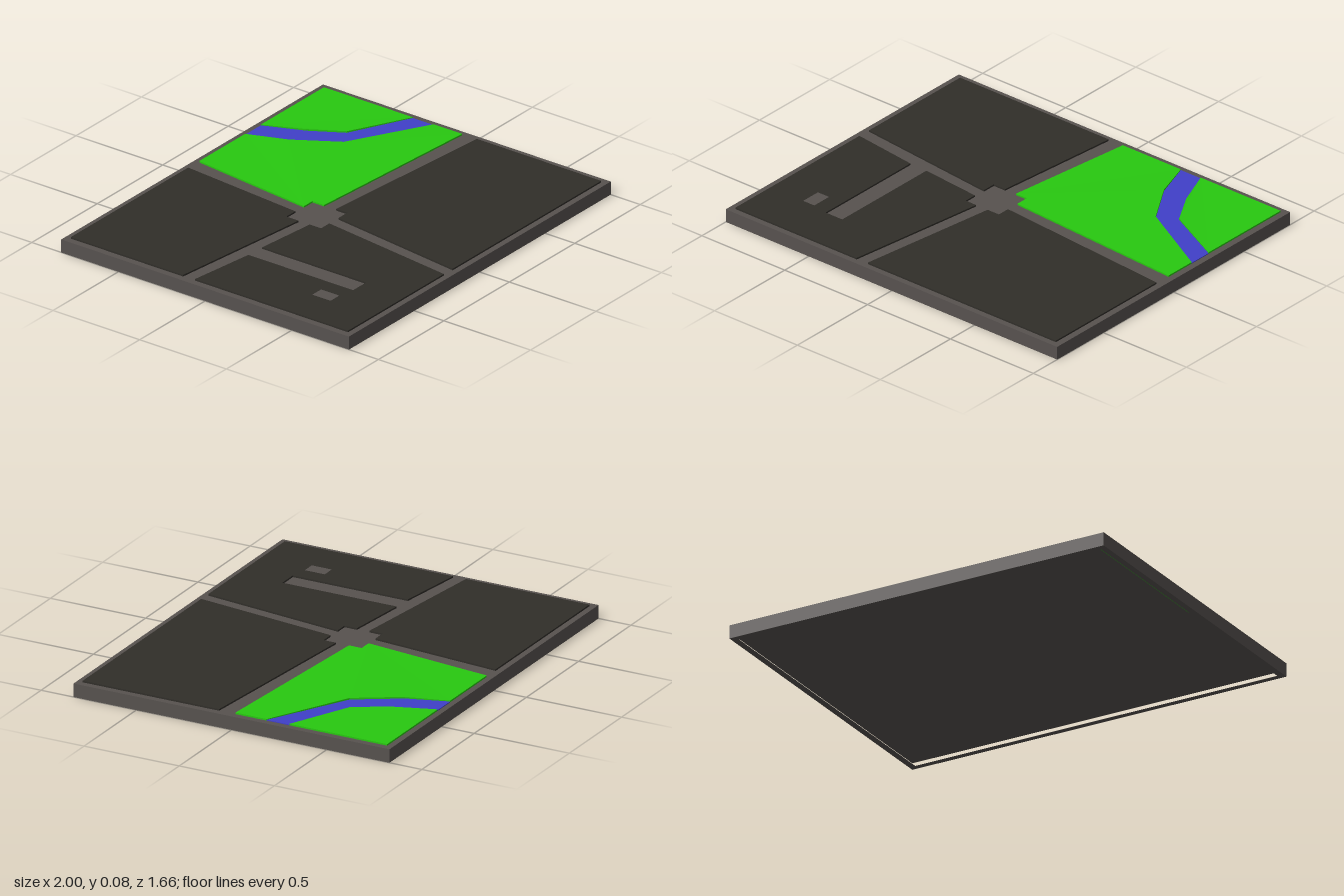
import * as THREE from 'three';

const W = 1, D = 0.83;          // half extents of the board
const IW = 0.967, ID = 0.8;     // half extents inside the border
const BASE_TOP = 0.067, PLOT_TOP = 0.075, RECESS = 0.033;

const paint = (color) => new THREE.MeshStandardMaterial({ color, flatShading: true });
const stone = paint(0x57524f);
const soil = paint(0x302e29);
const grass = paint(0x28c810);
const water = paint(0x403fc8);

const toVectors = (points) => points.map(([x, z]) => new THREE.Vector2(x, -z));
const rect = (x0, z0, x1, z1) => [[x0, z0], [x1, z0], [x1, z1], [x0, z1]];

// Upright prism over a plan outline given as [x, z] corners
function prism(name, outline, y0, y1, material, holes = []) {
  const shape = new THREE.Shape(toVectors(outline));
  for (const hole of holes) shape.holes.push(new THREE.Path(toVectors(hole)));
  const geometry = new THREE.ExtrudeGeometry(shape, { depth: y1 - y0, bevelEnabled: false });
  geometry.rotateX(-Math.PI / 2).translate(0, y0, 0);
  const mesh = new THREE.Mesh(geometry, material);
  mesh.name = name;
  return mesh;
}

// Lift the top corners of a bank slightly at the river bends
function raiseBends(mesh, bends) {
  const p = mesh.geometry.attributes.position;
  for (let i = 0; i < p.count; i++) {
    const atBend = bends.some(([x, z]) => Math.hypot(p.getX(i) - x, p.getZ(i) - z) < 0.01);
    if (atBend && p.getY(i) > BASE_TOP + 0.001) p.setY(i, PLOT_TOP + 0.004);
  }
  mesh.geometry.computeVertexNormals();
  return mesh;
}

export function createModel() {
  const model = new THREE.Group();
  model.name = 'townBoard';

  // Base slab on a rim, leaving a shallow recess underneath
  const board = rect(-W, -D, W, D);
  model.add(
    prism('baseRim', board, 0, RECESS, stone, [rect(-IW, -ID, IW, ID)]),
    prism('baseSlab', board, RECESS, BASE_TOP, stone),
  );

  // Green strip on the inner face of the rim
  const strip = new THREE.Mesh(new THREE.BoxGeometry(0.002, RECESS, ID), grass);
  strip.name = 'rimStrip';
  strip.position.set(-IW + 0.001, RECESS / 2, -ID / 2);
  model.add(strip);

  // Dark plots, with the roads and crossing left free between them
  const backLeftPlot = [
    [-IW, -ID], [-0.07, -ID], [-0.132, -0.135], [-0.2, -0.135], [-0.2, -0.065], [-IW, -0.152],
  ];
  const frontLeftPlot = [
    [-IW, -0.083], [-0.62, -0.037], [-0.62, 0.567], [-0.52, 0.567], [-0.52, -0.033],
    [-0.2, 0], [-0.2, 0.065], [-0.137, 0.065], [-0.235, ID], [-IW, ID],
  ];
  const frontRightPlot = [
    [0, 0], [IW, 0.083], [IW, ID], [-0.168, ID], [-0.068, 0.065], [0, 0.065],
  ];
  const pit = rect(-0.77, 0.445, -0.703, 0.55);
  model.add(
    prism('backPlot', backLeftPlot, BASE_TOP, PLOT_TOP, soil),
    prism('sideStreetPlot', frontLeftPlot, BASE_TOP, PLOT_TOP, soil, [pit]),
    prism('frontPlot', frontRightPlot, BASE_TOP, PLOT_TOP, soil),
  );

  // Park split by a river
  const innerBank = [[0.365, -ID], [0.433, -0.6], [0.567, -0.383], [IW, -0.167]];
  const outerBank = [[0.485, -ID], [0.567, -0.6], [0.662, -0.438], [IW, -0.287]];
  const mainPark = [
    [0.015, -ID], ...innerBank, [IW, -0.003], [0, -0.068], [0, -0.135], [-0.066, -0.135],
  ];
  const cornerPark = [...outerBank, [IW, -ID]];
  const river = [...innerBank, ...outerBank.slice().reverse()];
  model.add(
    raiseBends(prism('mainPark', mainPark, BASE_TOP, PLOT_TOP, grass), innerBank.slice(1, 3)),
    raiseBends(prism('cornerPark', cornerPark, BASE_TOP, PLOT_TOP, grass), outerBank.slice(1, 3)),
    prism('river', river, BASE_TOP, 0.071, water),
  );
  return model;
}
